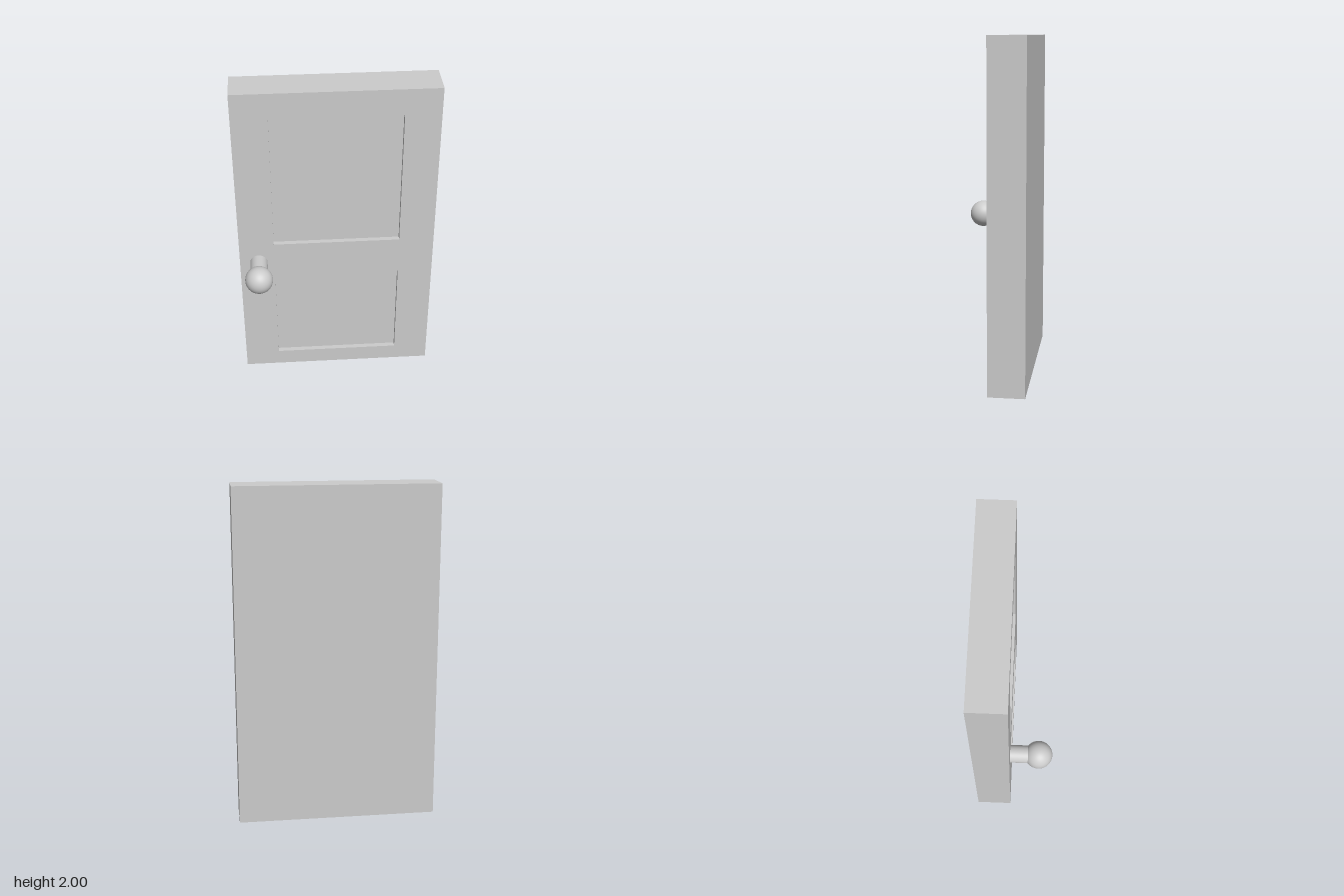
import * as THREE from 'three';

const WIDTH = 1.18, HEIGHT = 2, BACK = -0.235, FRONT = -0.02, RECESS = 0.03;
const KNOB = { x: -0.475, y: 0.85, z: 0.15, radius: 0.083, stem: 0.053 };

// Traces a rectangle onto a Shape or Path
function rectangle(path, x0, y0, x1, y1) {
  path.moveTo(x0, y0);
  path.lineTo(x1, y0);
  path.lineTo(x1, y1);
  path.lineTo(x0, y1);
  path.closePath();
  return path;
}

export function createModel() {
  const model = new THREE.Group();
  model.name = 'door';
  const material = new THREE.MeshStandardMaterial({ color: 0xcccccc });

  function add(name, geometry, x, y, z, parent = model) {
    const mesh = new THREE.Mesh(geometry, material);
    mesh.name = name;
    mesh.position.set(x, y, z);
    parent.add(mesh);
    return mesh;
  }

  // Solid slab whose front forms the floor of the recessed panels
  const slabDepth = FRONT - RECESS - BACK;
  add('doorSlab', new THREE.BoxGeometry(WIDTH, HEIGHT, slabDepth), 0, HEIGHT / 2, BACK + slabDepth / 2);

  // Front frame with the upper and lower panel openings
  const frame = rectangle(new THREE.Shape(), -WIDTH / 2, 0, WIDTH / 2, HEIGHT);
  for (const [bottom, top] of [[0.105, 0.74], [0.98, 1.84]]) {
    frame.holes.push(rectangle(new THREE.Path(), -0.38, bottom, 0.38, top));
  }
  add('panelFrame', new THREE.ExtrudeGeometry(frame, { depth: RECESS, bevelEnabled: false }), 0, 0, FRONT - RECESS);

  // Round knob on a short stem
  const handle = new THREE.Group();
  handle.name = 'doorHandle';
  handle.position.set(KNOB.x, KNOB.y, 0);
  model.add(handle);
  const stemLength = KNOB.z - FRONT;
  const stem = new THREE.CylinderGeometry(KNOB.stem, KNOB.stem, stemLength, 48).rotateX(Math.PI / 2);
  add('knobStem', stem, 0, 0, FRONT + stemLength / 2, handle);
  add('knob', new THREE.SphereGeometry(KNOB.radius, 48, 32), 0, 0, KNOB.z, handle);

  return model;
}
